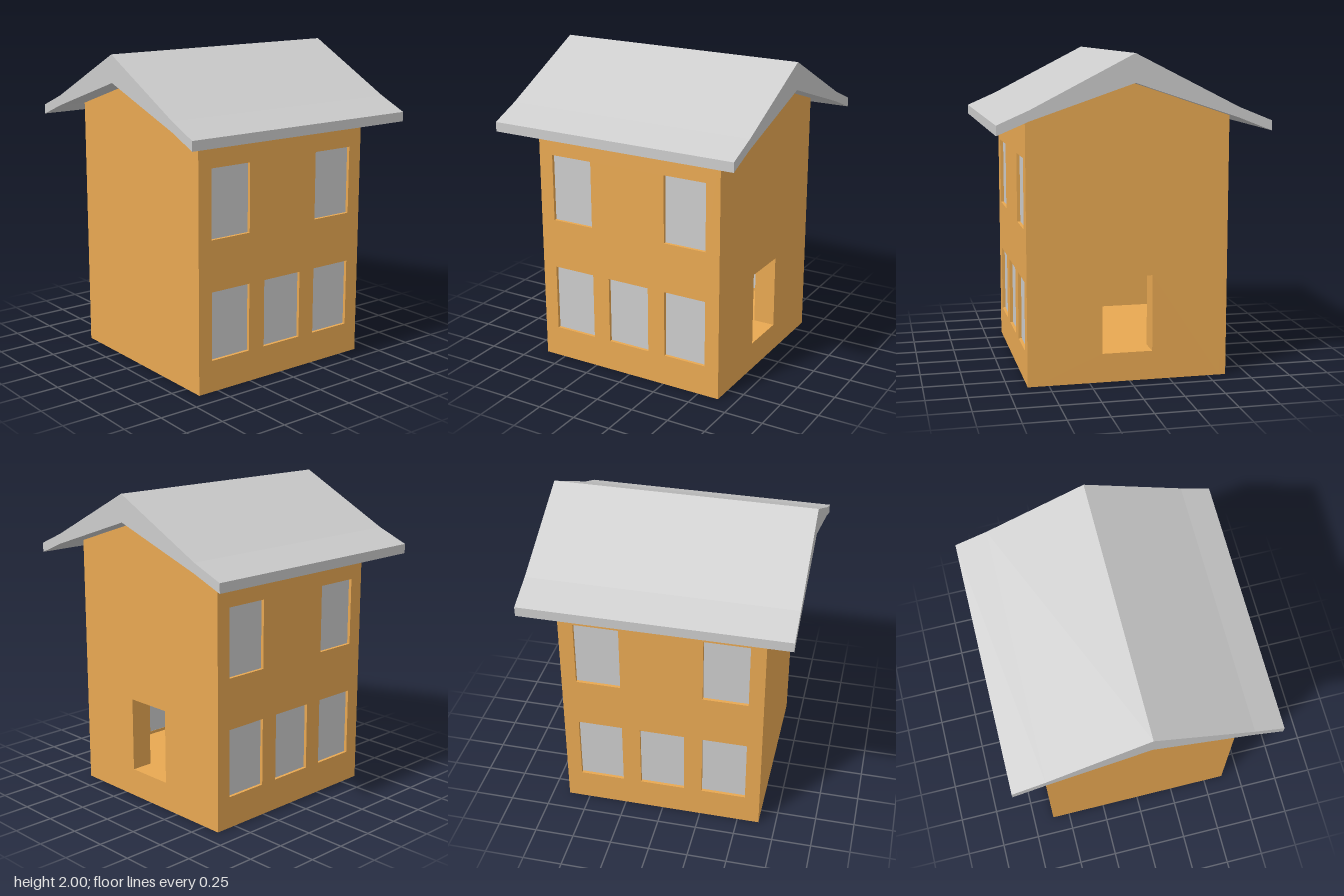
import * as THREE from 'three';

const grey = new THREE.MeshStandardMaterial({ color: 0xcccccc, flatShading: true });
const orange = new THREE.MeshStandardMaterial({ color: 0xe8a852, flatShading: true });

const W = 0.64;                  // half width of the house
const FRONT = 0.63, BACK = -0.615, RIDGE = 0.012;
const SKIN = 0.04, SIDE = 0.14;  // thickness of long walls and gable walls
const RECESS = 0.02;             // depth of the glass behind the wall face

const polygon = (pts) => new THREE.Shape(pts.map(([a, b]) => new THREE.Vector2(a, b)));
const rect = (x0, y0, x1, y1) => polygon([[x0, y0], [x1, y0], [x1, y1], [x0, y1]]);
const extrude = (shape, depth) => new THREE.ExtrudeGeometry(shape, { depth, bevelEnabled: false });

// Extrudes a (z, y) profile along x, from xMax down to xMax - depth
const extrudeAlongX = (shape, depth, xMax) =>
  extrude(shape, depth).rotateY(-Math.PI / 2).translate(xMax, 0, 0);

function add(parent, name, geometry, material) {
  const mesh = new THREE.Mesh(geometry, material);
  mesh.name = name;
  parent.add(mesh);
  return mesh;
}

// Window rectangles: [x0, y0, x1, y1]
const windows = [
  [-0.545, 0.2, -0.26, 0.63], [-0.143, 0.2, 0.143, 0.63], [0.26, 0.2, 0.545, 0.63],
  [-0.545, 0.95, -0.26, 1.38], [0.26, 0.95, 0.545, 1.38],
];

// Long wall with recessed windows, outer face at z = 0 looking towards +z
function windowWall(name) {
  const group = new THREE.Group();
  group.name = name;
  const shape = rect(-W, 0, W, 1.633);
  for (const w of windows) shape.holes.push(rect(...w));
  add(group, 'wall', extrude(shape, SKIN).translate(0, 0, -SKIN), orange);
  for (const [x0, y0, x1, y1] of windows) {
    const pane = add(group, 'windowPane', new THREE.BoxGeometry(x1 - x0, y1 - y0, SKIN - RECESS - 0.002), grey);
    pane.position.set((x0 + x1) / 2, (y0 + y1) / 2, -(RECESS + SKIN - 0.002) / 2);
  }
  return group;
}

// Gable profile between the two long walls
const gable = () => polygon([
  [BACK + SKIN, 0], [FRONT - SKIN, 0], [FRONT - SKIN, 1.634], [RIDGE, 1.83], [BACK + SKIN, 1.634],
]);

export function createModel() {
  const house = new THREE.Group();
  house.name = 'house';

  // Front and back walls
  const front = windowWall('frontWall');
  front.position.z = FRONT;
  const back = windowWall('backWall');
  back.rotation.y = Math.PI;
  back.position.z = BACK;
  house.add(front, back);

  // Gable walls, the left (+x) one with a doorway
  const doorGable = gable();
  doorGable.holes.push(rect(-0.143, 0.18, 0.17, 0.655));
  add(house, 'doorGableWall', extrudeAlongX(doorGable, SIDE, W), orange);
  add(house, 'plainGableWall', extrudeAlongX(gable(), SIDE, -W + SIDE), orange);

  // Raised floor between the walls
  const floor = rect(BACK + SKIN, 0, FRONT - SKIN, 0.18);
  add(house, 'floor', extrudeAlongX(floor, 2 * (W - SIDE), W - SIDE), orange);

  // Roof with flared eaves
  const roof = polygon([
    [0.82, 1.54], [0.82, 1.6], [FRONT, 1.683], [RIDGE, 2], [BACK, 1.683],
    [-0.82, 1.6], [-0.82, 1.54], [BACK, 1.62], [RIDGE, 1.83], [FRONT, 1.62],
  ]);
  add(house, 'roof', extrudeAlongX(roof, 1.64, 0.82), grey);

  return house;
}
